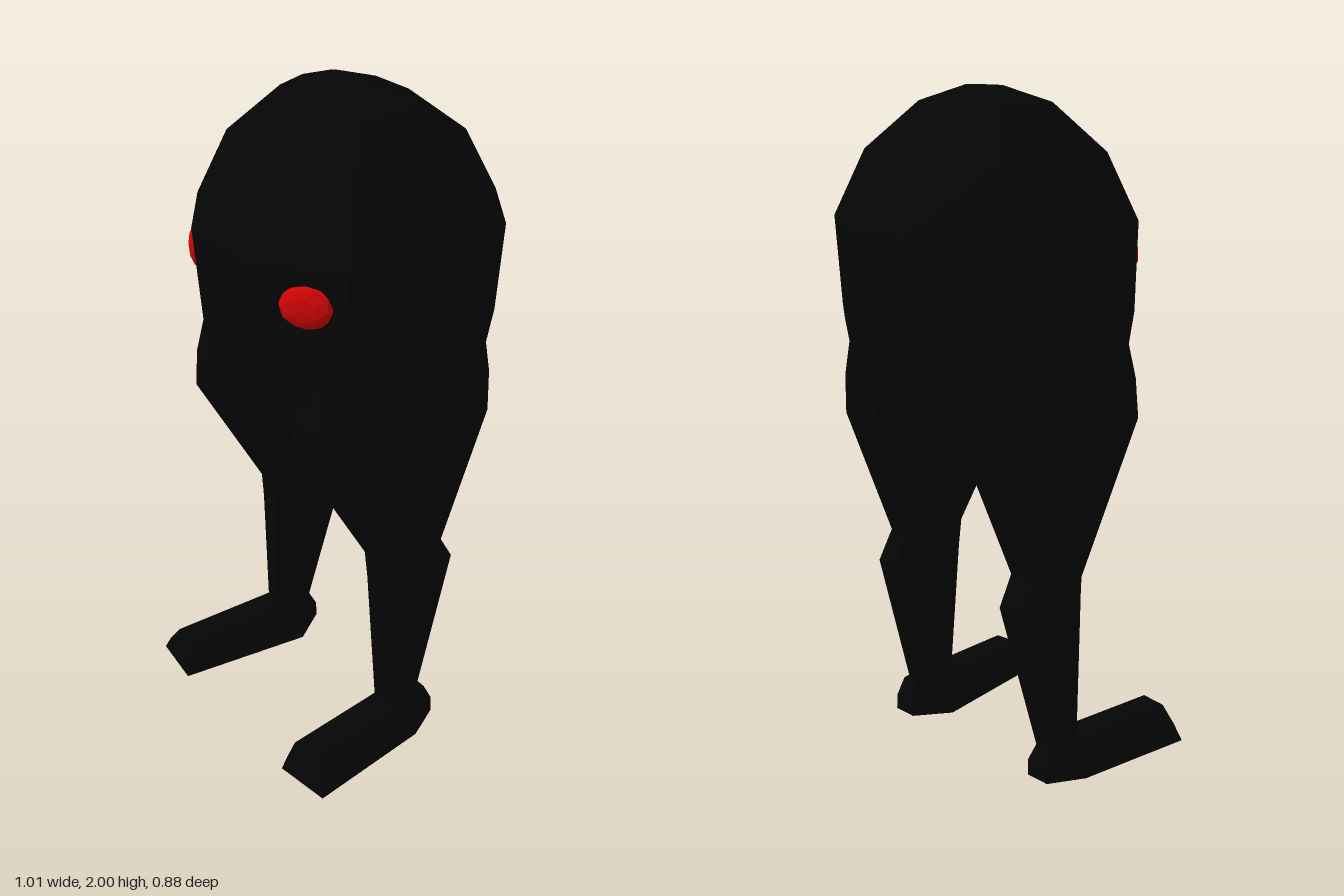
import * as THREE from 'three';

// Joins equal-sized rings (bottom to top, counter-clockwise seen from +z) and caps both ends.
function loft(rings) {
  const n = rings[0].length, pos = [];
  const tri = (a, b, c) => pos.push(...a, ...b, ...c);
  for (let r = 0; r < rings.length - 1; r++) {
    const lo = rings[r], hi = rings[r + 1];
    for (let i = 0; i < n; i++) {
      const j = (i + 1) % n;
      tri(lo[i], lo[j], hi[j]);
      tri(lo[i], hi[j], hi[i]);
    }
  }
  const first = rings[0], last = rings[rings.length - 1];
  for (let i = 1; i < n - 1; i++) {
    tri(first[0], first[i + 1], first[i]);
    tri(last[0], last[i], last[i + 1]);
  }
  const g = new THREE.BufferGeometry();
  g.setAttribute('position', new THREE.Float32BufferAttribute(pos, 3));
  g.computeVertexNormals();
  return g;
}

// Mirrors rings across x while keeping their faces outward.
const mirror = (rings) => rings.map((ring) => ring.map(([x, y, z]) => [-x, y, z]).reverse());

export function createModel() {
  const group = new THREE.Group();
  const black = new THREE.MeshStandardMaterial({ color: 0x050505, flatShading: true });
  black.name = 'black skin';
  const red = new THREE.MeshStandardMaterial({ color: 0xcc0404, flatShading: true });
  red.name = 'red eyes';
  const add = (name, geometry, material) => {
    const mesh = new THREE.Mesh(geometry, material);
    mesh.name = name;
    group.add(mesh);
    return mesh;
  };

  // Domed ten-sided body; rows are y, half width, front z, back z, half width of the front facet
  const decagon = [[0.34, 1], [0.82, 0.64], [1, 0], [0.82, -0.64], [0.34, -1],
    [-0.34, -1], [-0.82, -0.64], [-1, 0], [-0.82, 0.64], [-0.34, 1]];
  const rows = [
    [1.05, 0.14, 0.335, -0.30, 0.03], [1.13, 0.32, 0.385, -0.37, 0.05],
    [1.25, 0.39, 0.40, -0.40, 0.08], [1.37, 0.41, 0.41, -0.42, 0.09],
    [1.63, 0.425, 0.40, -0.44, 0.145], [1.82, 0.345, 0.30, -0.34, 0.117],
    [1.955, 0.205, 0.14, -0.17, 0.07], [2.0, 0.075, 0.0, -0.04, 0.025],
  ];
  add('body', loft(rows.map(([y, w, f, b, front], r) => decagon.map(([u, v]) => {
    const mid = -0.02;
    const x = v === 1 ? Math.sign(u) * front : u * w;
    const z = v > 0 ? mid + (f - mid) * v : mid - (b - mid) * v;
    return [x, r === 0 ? y + Math.max(0, Math.abs(x) - 0.03) * 0.3 : y, z];
  }))), black);

  // Hip, thigh, knee and shin; rows are y, inner x, outer x, front z, back z, mid z
  const hexagon = [[0.06, 1], [0.44, 1], [1, 0], [0.48, -1], [0.06, -1], [0, 0]];
  const legRows = [
    [0.09, 0.265, 0.35, 0.08, -0.06, 0.01], [0.55, 0.225, 0.40, 0.088, -0.18, -0.02],
    [0.64, 0.22, 0.40, 0.095, -0.13, -0.02], [1.04, 0.165, 0.505, 0.31, -0.28, -0.02],
    [1.16, 0.14, 0.505, 0.31, -0.29, -0.02], [1.5, 0.12, 0.44, 0.24, -0.26, -0.02],
    [1.63, 0.12, 0.40, 0.20, -0.23, -0.02],
  ];
  const leg = legRows.map(([y, x0, x1, f, b, m]) =>
    hexagon.map(([u, v]) => [x0 + (x1 - x0) * u, y, v > 0 ? f : v < 0 ? b : m]));

  // Splayed wedge foot: wide sole, raised edge and narrow top
  const foot = [
    [[0.265, 0, 0.438], [0.44, 0, 0.415], [0.40, 0, 0.02], [0.345, 0, -0.09], [0.265, 0, -0.09], [0.195, 0, 0.02]],
    [[0.277, 0.05, 0.425], [0.415, 0.05, 0.405], [0.38, 0.05, 0.02], [0.342, 0.05, -0.09], [0.265, 0.05, -0.09], [0.225, 0.05, 0.02]],
    [[0.29, 0.105, 0.405], [0.375, 0.105, 0.395], [0.352, 0.105, 0.02], [0.335, 0.105, -0.065], [0.28, 0.105, -0.065], [0.26, 0.105, 0.02]],
  ];

  for (const side of [1, -1]) {
    const label = side > 0 ? 'left' : 'right';
    add(label + 'Leg', loft(side > 0 ? leg : mirror(leg)), black);
    add(label + 'Foot', loft(side > 0 ? foot : mirror(foot)), black);
    // Shallow faceted eye lying along the slanted face
    const eye = add(label + 'Eye', new THREE.IcosahedronGeometry(1, 1), red);
    eye.scale.set(0.076, 0.064, 0.032);
    eye.rotation.y = side * 0.61;
    eye.position.set(side * 0.25, 1.522, 0.311);
  }
  return group;
}
